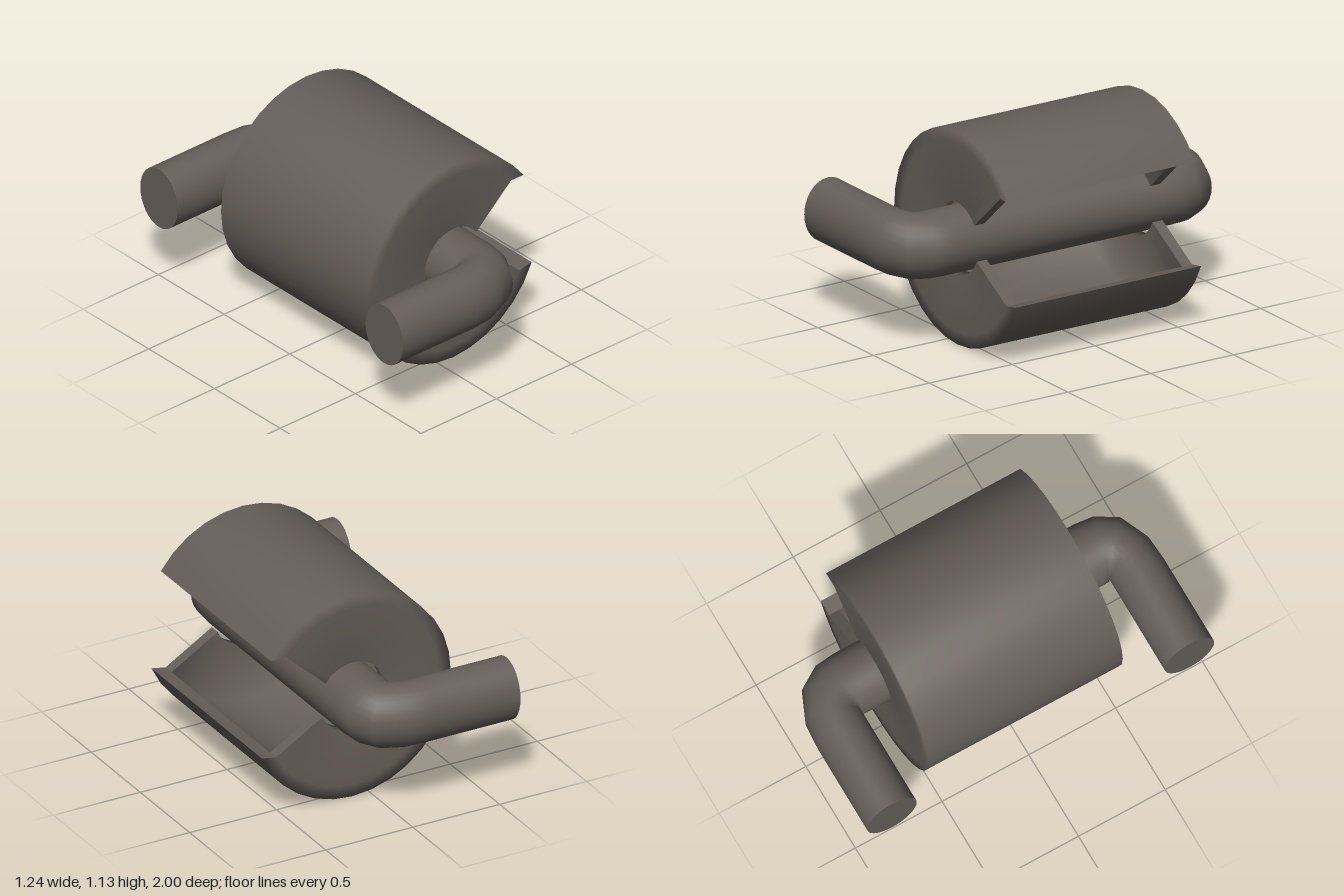
import * as THREE from 'three';

const CX = 0.097, CY = 0.566; // shared axis of drum and bar

// Skin a row of closed rings; flat end faces are index lists into a ring
function loft(rings, endFaces) {
  const n = rings[0].length, pos = [], idx = [];
  rings.forEach((r) => r.forEach((p) => pos.push(...p)));
  for (let i = 0; i < rings.length - 1; i++) {
    for (let j = 0; j < n; j++) {
      const a = i * n + j, b = i * n + (j + 1) % n;
      idx.push(a, b, b + n, a, b + n, a + n);
    }
  }
  const cap = (ring, reverse) => endFaces.forEach((face) => {
    const base = pos.length / 3;
    face.forEach((k) => pos.push(...ring[k]));
    for (let k = 1; k < face.length - 1; k++) {
      if (reverse) idx.push(base, base + k + 1, base + k);
      else idx.push(base, base + k, base + k + 1);
    }
  });
  cap(rings[0], true);
  cap(rings[rings.length - 1], false);
  const g = new THREE.BufferGeometry();
  g.setAttribute('position', new THREE.Float32BufferAttribute(pos, 3));
  g.setIndex(idx);
  g.computeVertexNormals();
  return g;
}

// Hollow C-shaped drum: outer wall plus two end plates, swept round the z axis
function drumGeometry() {
  const steps = 27;
  const lip = [0.565, 34.2, 337.3], wall = [0.498, 39.7, 332.1], hole = [0.19, 35.6, 336.6];
  const section = [
    [lip, 0.56], [lip, -0.56], [wall, -0.56], [hole, -0.56], [hole, -0.5],
    [wall, -0.5], [wall, 0.5], [hole, 0.5], [hole, 0.56], [wall, 0.56],
  ];
  const rings = [];
  for (let i = 0; i <= steps; i++) {
    rings.push(section.map(([[r, from, to], z]) => {
      const a = THREE.MathUtils.degToRad(from + (to - from) * i / steps);
      return [CX + r * Math.cos(a), CY + r * Math.sin(a), z];
    }));
  }
  return loft(rings, [[0, 1, 2, 9], [2, 3, 4, 5], [6, 7, 8, 9]]);
}

// U-shaped bar: oval rings spanning inner to outer edge, pinched at the bends
function barGeometry() {
  const sides = 32, half = 0.17;
  const stations = [ // inner x, z, outer x, z
    [-0.62, 0.715, -0.62, 1.0],
    [-0.12, 0.715, -0.12, 1.0],
    [-0.07, 0.715, 0.02, 0.99],
    [-0.06, 0.715, 0.18, 0.92],
    [-0.07, 0.71, 0.255, 0.8],
    [-0.073, 0.68, 0.267, 0.69],
    [-0.073, 0.56, 0.267, 0.56],
  ];
  const mirrored = stations.map(([a, b, c, d]) => [a, -b, c, -d]).reverse();
  const rings = [...stations, ...mirrored].map(([ix, iz, ox, oz]) => {
    const ring = [];
    for (let j = 0; j < sides; j++) {
      const t = j / sides * Math.PI * 2, k = (1 + Math.cos(t)) / 2;
      ring.push([ix + (ox - ix) * k, CY - half * Math.sin(t), iz + (oz - iz) * k]);
    }
    return ring;
  });
  return loft(rings, [[...Array(sides).keys()]]);
}

export function createModel() {
  const model = new THREE.Group();
  const metal = new THREE.MeshStandardMaterial({ color: 0x665e58 });
  metal.name = 'dark warm grey metal';

  const drum = new THREE.Mesh(drumGeometry(), metal);
  drum.name = 'slottedDrum';
  const bar = new THREE.Mesh(barGeometry(), metal);
  bar.name = 'bentBar';
  model.add(drum, bar);
  return model;
}
